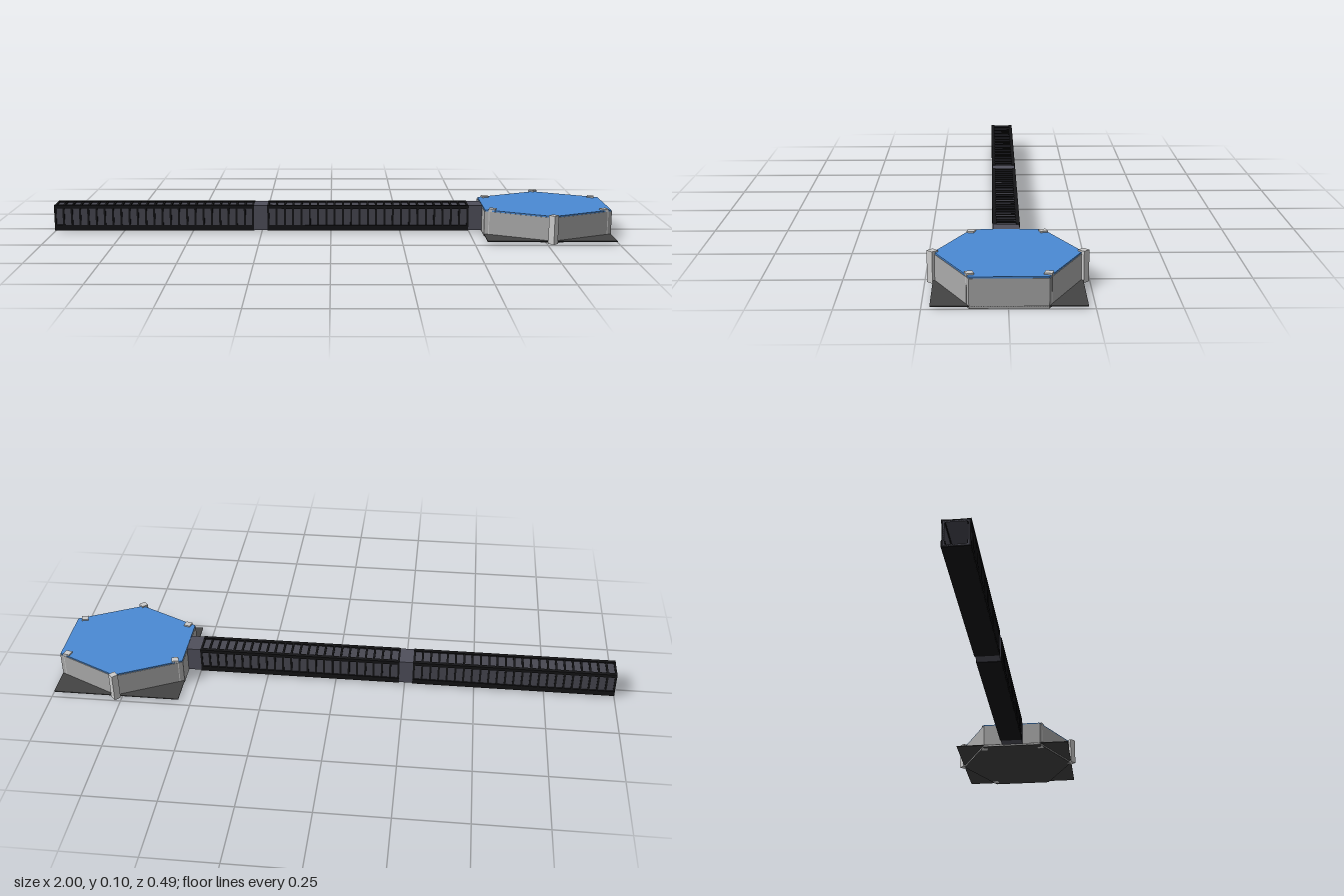
import * as THREE from 'three';

const mat = (color) => new THREE.MeshStandardMaterial({ color, flatShading: true });

// Hexagon outline (pointed towards +z and -z), shrunk by an inset
function hexPoints(inset = 0) {
  const w = 0.226 - inset, d = 0.226 - inset, s = 0.115 - inset * 0.5;
  return [[0, d], [-w, s], [-w, -s], [0, -d], [w, -s], [w, s]].map(([x, y]) => new THREE.Vector2(x, y));
}

// Flat-lying prism from y0 to y1
function hexPrism(y0, y1, inset, wall) {
  const shape = new THREE.Shape(hexPoints(inset));
  if (wall) shape.holes.push(new THREE.Path(hexPoints(inset + wall).reverse()));
  const g = new THREE.ExtrudeGeometry(shape, { depth: y1 - y0, bevelEnabled: false });
  return g.rotateX(-Math.PI / 2).translate(0, y0, 0);
}

// Square hollow sleeve running along x
function sleeve(x0, x1, halfW, y0, y1, wall) {
  const rect = (w, a, b) => [[-w, a], [w, a], [w, b], [-w, b]].map(([x, y]) => new THREE.Vector2(x, y));
  const shape = new THREE.Shape(rect(halfW, y0, y1));
  shape.holes.push(new THREE.Path(rect(halfW - wall, y0 + wall, y1 - wall).reverse()));
  const g = new THREE.ExtrudeGeometry(shape, { depth: x1 - x0, bevelEnabled: false });
  return g.rotateY(Math.PI / 2).translate(x0, 0, 0);
}

export function createModel() {
  const root = new THREE.Group();
  const wallMat = mat(0xaaaaaa), postMat = mat(0xcccccc), roofMat = mat(0x4a8ad4);
  const floorMat = mat(0x444444), panelMat = mat(0x484852), ribMat = mat(0x141416), jointMat = mat(0x50505c);
  const add = (parent, name, geo, material) => {
    const m = new THREE.Mesh(geo, material);
    m.name = name;
    parent.add(m);
    return m;
  };

  // Hexagonal room
  const room = new THREE.Group();
  room.name = 'hexRoom';
  room.position.set(0.771, 0, -0.002);
  root.add(room);
  add(room, 'roomFloor', hexPrism(0, 0.004, 0.001, 0), floorMat);
  add(room, 'roomWalls', hexPrism(0.001, 0.091, 0, 0.004), wallMat);
  add(room, 'roof', hexPrism(0.091, 0.096, 0.002, 0), roofMat);
  add(room, 'groundPlate', new THREE.BoxGeometry(0.452, 0.003, 0.454), floorMat).position.y = 0.0075;

  // Corner posts
  for (let i = 0; i < 6; i++) {
    const a = Math.PI / 2 + i * Math.PI / 3;
    const post = add(room, 'cornerPost', new THREE.BoxGeometry(0.024, 0.101, 0.024), postMat);
    post.position.set(0.228 * Math.cos(a), 0.0505, 0.228 * Math.sin(a));
    post.rotation.y = Math.PI / 4 - i * Math.PI / 3;
  }

  // Ribbed corridor: two long runs, each closed by a plain joint
  const corridor = new THREE.Group();
  corridor.name = 'corridor';
  root.add(corridor);
  for (const [x0, x1, end] of [[-1, -0.278, -0.23], [-0.23, 0.497, 0.546]]) {
    add(corridor, 'corridorPanels', sleeve(x0, x1, 0.039, 0.008, 0.092, 0.004), panelMat);
    add(corridor, 'corridorJoint', sleeve(x1, end, 0.042, 0.006, 0.096, 0.006), jointMat);

    // Rib frames
    const count = 25, pitch = (x1 - x0 - 0.007) / (count - 1);
    for (let i = 0; i < count; i++) {
      const x = x0 + i * pitch;
      add(corridor, 'ribFrame', sleeve(x, x + 0.007, 0.043, 0.005, 0.096, 0.006), ribMat);
    }

    // Edge rails and underside
    const len = x1 - x0, mid = (x0 + x1) / 2;
    for (const side of [-1, 1]) {
      add(corridor, 'topRail', new THREE.BoxGeometry(len, 0.012, 0.013), ribMat).position.set(mid, 0.091, side * 0.038);
      add(corridor, 'bottomRail', new THREE.BoxGeometry(len, 0.019, 0.013), ribMat).position.set(mid, 0.0145, side * 0.038);
    }
    add(corridor, 'underside', new THREE.BoxGeometry(len, 0.004, 0.084), ribMat).position.set(mid, 0.006, 0);
  }
  return root;
}
